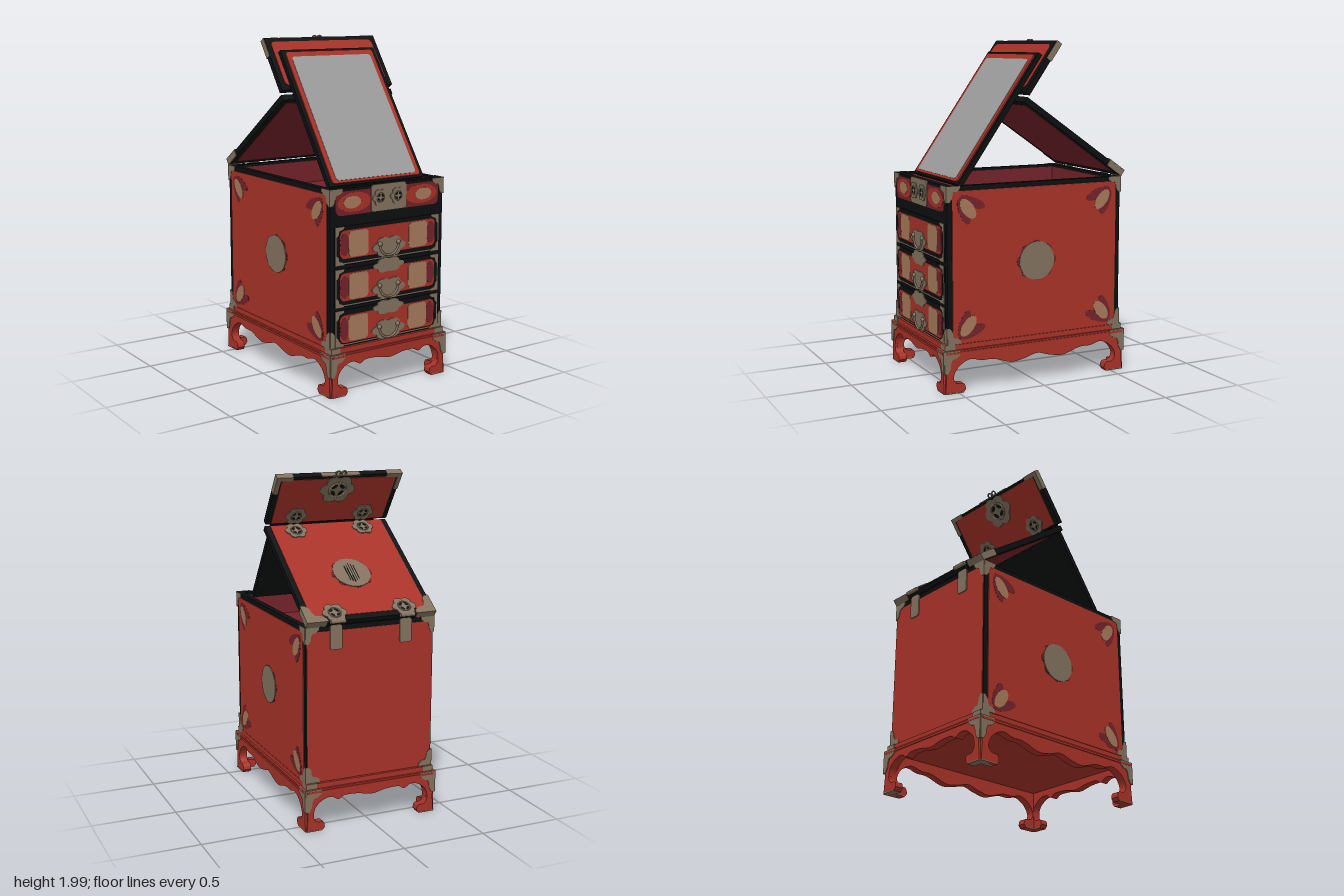
import * as THREE from 'three';

const mat = (name, color) => Object.assign(new THREE.MeshStandardMaterial({ color }), { name });
const RED = mat('red lacquer', 0xa83228), BLACK = mat('black lacquer', 0x0d0f10);
const BRASS = mat('aged brass', 0x82725e), TAN = mat('gold panel', 0xa57a5a);
const WINE = mat('dark red', 0x74222a), GLASS = mat('mirror grey', 0x9c9c9c);

function add(parent, name, geo, m, x = 0, y = 0, z = 0, rz = 0) {
  const mesh = new THREE.Mesh(geo, m);
  mesh.name = name;
  mesh.position.set(x, y, z);
  mesh.rotation.z = rz;
  parent.add(mesh);
  return mesh;
}
function sub(parent, name, y = 0, z = 0, rx = 0, ry = 0) {
  const g = new THREE.Group();
  g.name = name;
  g.position.set(0, y, z);
  g.rotation.set(rx, ry, 0);
  parent.add(g);
  return g;
}
const box = (w, h, d) => new THREE.BoxGeometry(w, h, d);
const slab = (shape, depth) => new THREE.ExtrudeGeometry(shape, { depth, bevelEnabled: false, curveSegments: 10 });

// Rectangle with rounded corners, centred
function rounded(w, h, r) {
  const s = new THREE.Shape(), a = w / 2, b = h / 2;
  s.absarc(a - r, b - r, r, 0, Math.PI / 2);
  s.absarc(-a + r, b - r, r, Math.PI / 2, Math.PI);
  s.absarc(-a + r, -b + r, r, Math.PI, Math.PI * 1.5);
  s.absarc(a - r, -b + r, r, Math.PI * 1.5, Math.PI * 2);
  return s;
}
const ellipse = (rx, ry) => new THREE.Shape().absellipse(0, 0, rx, ry, 0, Math.PI * 2);
// Cloud outline with n lobes
function cloud(rx, ry, n) {
  const pts = [];
  for (let i = 0; i < 48; i++) {
    const a = i / 48 * Math.PI * 2, k = 0.8 + 0.2 * Math.abs(Math.cos(a * n / 2));
    pts.push(new THREE.Vector2(Math.cos(a) * rx * k, Math.sin(a) * ry * k));
  }
  return new THREE.Shape(pts);
}
// Ornamental corner mount; sx, sy point from the corner towards the middle
const CORNER = [[0, 0], [1, 0], [0.95, 0.22], [0.7, 0.36], [0.5, 0.38], [0.4, 0.55], [0.36, 0.8], [0.2, 1], [0, 1]];
const corner = (w, h, sx, sy) => new THREE.Shape(CORNER.map(([x, y]) => new THREE.Vector2(x * w * sx, y * h * sy)));

function medallion(parent, name, x, y, z, r) {
  add(parent, name, slab(cloud(r * 1.1, r, 6), 0.006), BRASS, x, y, z);
  for (let i = 0; i < 4; i++) {
    const a = i * Math.PI / 2 + Math.PI / 4;
    add(parent, name + 'Slot', slab(ellipse(r * 0.2, r * 0.11), 0.001), BLACK,
      x + Math.cos(a) * r * 0.33, y + Math.sin(a) * r * 0.33, z + 0.006, a + Math.PI / 2);
  }
  add(parent, name + 'Ring', new THREE.TorusGeometry(r * 0.52, r * 0.06, 6, 20), BRASS, x, y, z + 0.006);
}
function disc(parent, y, z) {
  add(parent, 'discSurround', slab(cloud(0.128, 0.118, 8), 0.002), WINE, 0, y, z);
  add(parent, 'disc', slab(ellipse(0.113, 0.113), 0.005), BRASS, 0, y, z);
}

// One side of the stand: apron with scalloped edge between two curled legs
function standSide(root, name, W, D, ry, inner) {
  const g = sub(root, name, 0, 0, 0, ry), s = new THREE.Shape();
  const half = inner.map(([x, y]) => new THREE.Vector2(x, y));
  const left = half.map(p => new THREE.Vector2(-p.x, p.y)).reverse();
  s.moveTo(-W, 0.25).lineTo(-W, 0.2).lineTo(-W + 0.014, 0.1).lineTo(-W + 0.007, 0).lineTo(left[0].x - 0.015, 0);
  s.lineTo(left[0].x, left[0].y);
  s.splineThru([...left.slice(1), new THREE.Vector2(0, 0.172), ...half]);
  s.lineTo(half[half.length - 1].x + 0.015, 0).lineTo(W - 0.007, 0).lineTo(W - 0.014, 0.1).lineTo(W, 0.2).lineTo(W, 0.25);
  const geo = new THREE.ExtrudeGeometry(s, { depth: 0.05, bevelEnabled: false, curveSegments: 60 });
  add(g, 'apronAndLegs', geo, RED, 0, 0, D - 0.05);
  add(g, 'apronBead', box(2 * W - 0.02, 0.012, 0.012), RED, 0, 0.235, D);
  for (const k of [-1, 1]) {
    add(g, 'kneeMount', slab(corner(0.1, 0.13, -k, -1), 0.006), BRASS, k * W, 0.25, D - 0.001);
    const x = half[half.length - 1].x + 0.015;
    add(g, 'footPad', box(W - 0.007 - x, 0.006, 0.052), BRASS, k * (x + W - 0.007) / 2, 0.003, D - 0.025);
    add(g, 'mouldingMount', box(0.06, 0.032, 0.006), BRASS, k * (W - 0.042), 0.266, D - 0.013);
  }
}

function drawer(front, y, h, redY) {
  const g = sub(front, 'drawer');
  add(g, 'drawerFront', box(0.74, h, 0.01), BLACK, 0, y, 0.562);
  add(g, 'drawerEdge', box(0.72, 0.006, 0.004), BRASS, 0, y - h / 2 + 0.01, 0.567);
  add(g, 'drawerPanel', slab(rounded(0.67, 0.16, 0.03), 0.003), RED, 0, redY, 0.567);
  for (const k of [-1, 1]) {
    add(g, 'sidePatch', slab(ellipse(0.03, 0.065), 0.001), WINE, k * 0.305, redY, 0.57);
    add(g, 'goldPanel', slab(rounded(0.135, 0.148, 0.025), 0.002), TAN, k * 0.21, redY, 0.57);
    add(g, 'drawerSideEdge', box(0.008, h - 0.01, 0.004), BRASS, k * 0.362, y, 0.567);
    for (const j of [-1, 1])
      add(g, 'drawerCorner', slab(corner(0.06, 0.055, -k, -j), 0.003), BRASS, k * 0.366, y + j * (h / 2), 0.567);
  }
  add(g, 'handlePlate', slab(cloud(0.118, 0.062, 6), 0.005), BRASS, 0, redY - 0.045, 0.57);
  add(g, 'handle', new THREE.TorusGeometry(0.065, 0.007, 6, 18, Math.PI), BRASS, 0, redY - 0.03, 0.577, Math.PI);
  for (const k of [-1, 1])
    add(g, 'handleStud', new THREE.SphereGeometry(0.014, 10, 6), BRASS, k * 0.065, redY - 0.025, 0.575);
}

export function createModel() {
  const root = new THREE.Group();
  root.name = 'dressingChest';

  // Stand
  const frontEdge = [[0.09, 0.188], [0.17, 0.19], [0.21, 0.172], [0.25, 0.192], [0.3, 0.185], [0.35, 0.145], [0.363, 0.09], [0.345, 0.055], [0.305, 0.05], [0.295, 0.02]];
  const sideEdge = [[0.08, 0.152], [0.17, 0.14], [0.28, 0.172], [0.36, 0.175], [0.43, 0.19], [0.5, 0.155], [0.532, 0.1], [0.515, 0.06], [0.47, 0.052], [0.457, 0.02]];
  standSide(root, 'standFront', 0.412, 0.59, 0, frontEdge);
  standSide(root, 'standBack', 0.412, 0.59, Math.PI, frontEdge);
  standSide(root, 'standLeft', 0.59, 0.412, Math.PI / 2, sideEdge);
  standSide(root, 'standRight', 0.59, 0.412, -Math.PI / 2, sideEdge);
  add(root, 'standDeck', box(0.8, 0.05, 1.155), RED, 0, 0.255);

  // Body with an open tray on top
  add(root, 'body', box(0.79, 0.74, 1.12), BLACK, 0, 0.65);
  for (const k of [-1, 1]) {
    add(root, 'trayWall', box(0.035, 0.16, 1.12), BLACK, k * 0.3775, 1.1);
    add(root, 'trayWall', box(0.72, 0.16, 0.04), BLACK, 0, 1.1, k * 0.54);
    add(root, 'trayLining', box(0.004, 0.145, 1.04), WINE, k * 0.359, 1.092);
    add(root, 'trayLining', box(0.72, 0.145, 0.004), WINE, 0, 1.092, k * 0.519);
  }
  add(root, 'trayFloor', box(0.72, 0.005, 1.04), WINE, 0, 1.022);

  const faces = [['front', 0, 0.395, 0.56], ['back', Math.PI, 0.395, 0.56],
    ['left', Math.PI / 2, 0.56, 0.395], ['right', -Math.PI / 2, 0.56, 0.395]];
  for (const [name, ry, W, D] of faces) {
    const g = sub(root, name + 'Side', 0, 0, 0, ry);
    for (const k of [-1, 1]) for (const j of [-1, 1])
      add(g, 'cornerMount', slab(corner(0.085, 0.095, -k, -j), 0.004), BRASS, k * (W + 0.004), j > 0 ? 1.182 : 0.282, D + 0.003);
    if (name === 'front') {
      // Top drawer, lock and three drawers
      add(g, 'topDrawer', slab(rounded(0.72, 0.135, 0.03), 0.003), WINE, 0, 1.097, D);
      for (const k of [-1, 1]) {
        add(g, 'redPatch', slab(ellipse(0.115, 0.055), 0.001), RED, k * 0.235, 1.1, D + 0.003);
        add(g, 'goldPatch', slab(ellipse(0.06, 0.035), 0.001), TAN, k * 0.25, 1.1, D + 0.004);
      }
      add(g, 'lockPlate', slab(rounded(0.245, 0.155, 0.02), 0.009), BRASS, 0, 1.107, D);
      for (const k of [-1, 1]) medallion(g, 'lockRoundel', k * 0.062, 1.108, D + 0.009, 0.05);
      drawer(g, 0.86, 0.22, 0.867);
      drawer(g, 0.62, 0.22, 0.625);
      drawer(g, 0.388, 0.21, 0.383);
      for (const y of [0.715, 0.47]) add(g, 'drawerLock', slab(cloud(0.11, 0.045, 6), 0.006), BRASS, 0, y, 0.567);
    } else if (name === 'back') {
      add(g, 'backPanel', box(0.78, 0.87, 0.004), RED, 0, 0.717, D + 0.001);
      for (const k of [-1, 1]) add(g, 'hingeStrap', slab(rounded(0.075, 0.14, 0.015), 0.008), BRASS, k * 0.215, 1.115, D + 0.002);
    } else {
      add(g, 'sidePanel', slab(rounded(1.06, 0.87, 0.03), 0.005), RED, 0, 0.717, D);
      disc(g, 0.72, D + 0.005);
      for (const k of [-1, 1]) for (const j of [-1, 1]) {
        const y = 0.715 + j * 0.33, tilt = k * j;
        add(g, 'leafShade', slab(ellipse(0.085, 0.03), 0.001), WINE, k * 0.41, y + j * 0.04, D + 0.005, tilt * 0.35);
        add(g, 'leafShade', slab(ellipse(0.08, 0.03), 0.001), WINE, k * 0.46, y - j * 0.01, D + 0.005, tilt * 1.2);
        add(g, 'goldLeaf', slab(ellipse(0.068, 0.036), 0.002), TAN, k * 0.435, y + j * 0.005, D + 0.005, tilt * 0.9);
      }
    }
  }

  // Leaning mirror
  const mirror = sub(root, 'mirror', 1.18, 0.47, -0.608);
  add(mirror, 'mirrorBack', box(0.665, 0.89, 0.03), BLACK, 0, 0.447, -0.02);
  add(mirror, 'mirrorFrame', slab(rounded(0.62, 0.86, 0.02), 0.008), RED, 0, 0.445, -0.005);
  add(mirror, 'mirrorGlass', slab(rounded(0.56, 0.81, 0.02), 0.002), GLASS, 0, 0.435, 0.003);

  // Folded front flap of the lid, resting behind the mirror
  const flap = sub(mirror, 'lidFlap', 0.82, -0.052);
  add(flap, 'flapBoard', box(0.785, 0.35, 0.034), BLACK);
  add(flap, 'flapInside', slab(rounded(0.72, 0.295, 0.03), 0.003), RED, 0, 0, 0.017);
  const flapOut = sub(flap, 'flapOutside', 0, 0, 0, Math.PI);
  add(flapOut, 'flapPanel', box(0.72, 0.32, 0.004), RED, 0, -0.005, 0.018);
  medallion(flapOut, 'claspMedallion', 0, 0.075, 0.02, 0.1);
  add(flapOut, 'claspPlate', box(0.24, 0.006, 0.034), BRASS, 0, 0.176, 0.004);
  for (const k of [-1, 1]) {
    medallion(flapOut, 'hingeMedallion', k * 0.215, -0.115, 0.02, 0.062);
    add(flapOut, 'flapCornerCap', box(0.1, 0.026, 0.037), BRASS, k * 0.345, 0.165, 0.004);
    add(flapOut, 'flapSideCap', box(0.026, 0.12, 0.037), BRASS, k * 0.382, 0.118, 0.004);
    add(flapOut, 'claspRing', new THREE.TorusGeometry(0.014, 0.005, 6, 16), BRASS, k * 0.018, 0.188, 0.01);
  }

  // Rear half of the lid, raised on its hinges
  const lid = sub(root, 'rearLid', 1.182, -0.565, 0.962);
  add(lid, 'lidBoard', box(0.785, 0.785, 0.034), BLACK, 0, 0.393, -0.019);
  add(lid, 'lidLining', box(0.71, 0.71, 0.003), WINE, 0, 0.393, -0.001);
  const lidOut = sub(lid, 'lidOutside', 0, -0.036, 0, Math.PI);
  add(lidOut, 'lidPanel', box(0.72, 0.745, 0.004), RED, 0, 0.408, 0.001);
  disc(lidOut, 0.35, 0.003);
  for (let i = -2; i <= 2; i++)
    add(lidOut, 'discSlit', box(0.005, 0.15 - Math.abs(i) * 0.02, 0.001), BLACK, i * 0.014, 0.35, 0.0085);
  for (const k of [-1, 1]) {
    medallion(lidOut, 'hingeMedallion', k * 0.215, 0.055, 0.003, 0.068);
    medallion(lidOut, 'hingeMedallion', k * 0.215, 0.725, 0.003, 0.062);
    add(lidOut, 'hingeKnuckle', new THREE.CylinderGeometry(0.012, 0.012, 0.09, 10), BRASS, k * 0.215, -0.005, 0, Math.PI / 2);
    add(lidOut, 'lidCornerMount', slab(corner(0.13, 0.13, -k, 1), 0.004), BRASS, k * 0.398, -0.004, 0.002);
    add(lidOut, 'lidSideCap', box(0.005, 0.12, 0.038), BRASS, k * 0.395, 0.056, -0.017);
    add(lidOut, 'lidEndCap', box(0.12, 0.005, 0.038), BRASS, k * 0.337, -0.001, -0.017);
  }
  return root;
}
